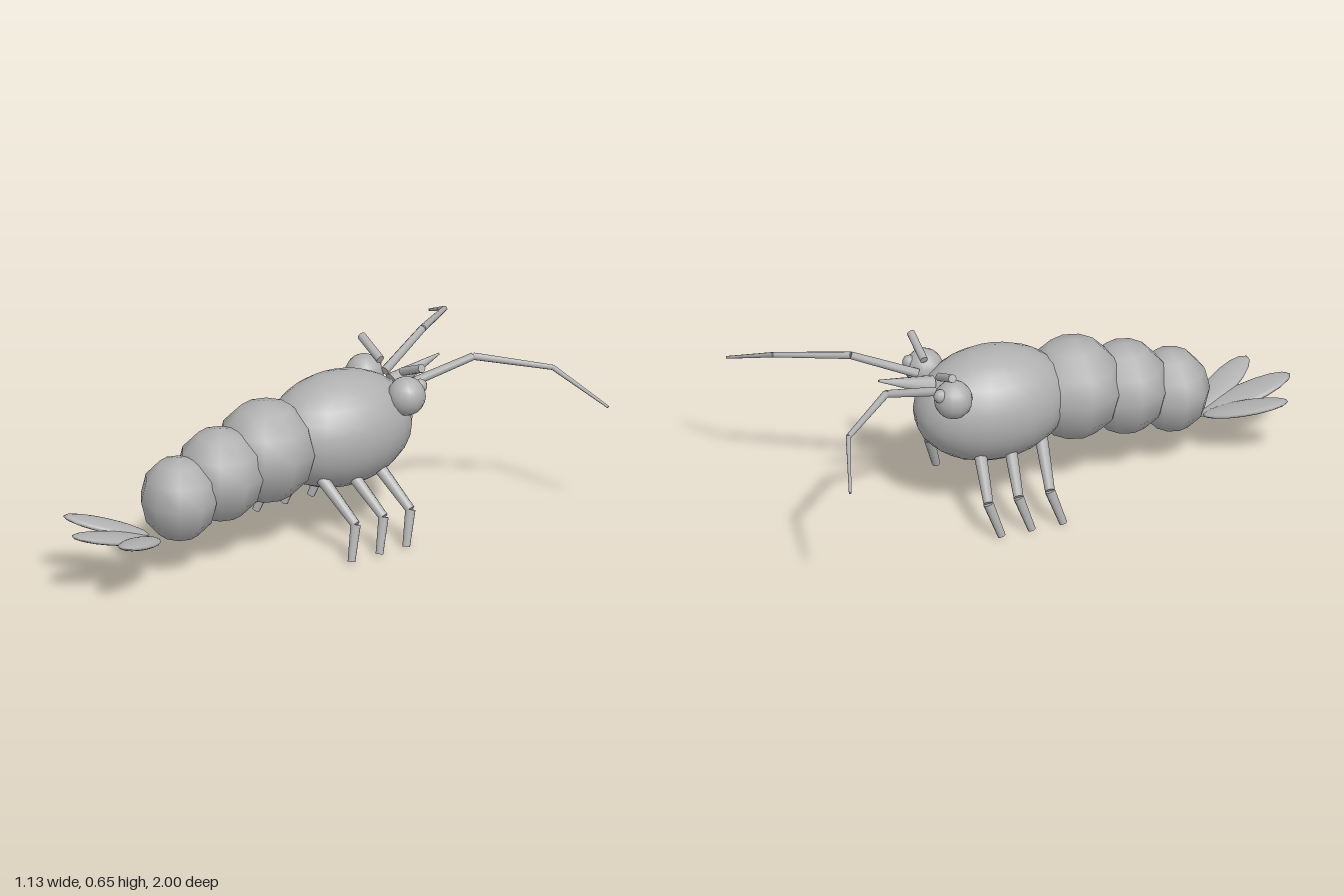
import * as THREE from 'three';

export function createModel() {
  const model = new THREE.Group();
  model.name = 'shrimp';
  const shell = new THREE.MeshStandardMaterial({ color: 0xb0b0b0 });
  shell.name = 'shellGrey';

  const add = (name, geometry, parent = model) => {
    const mesh = new THREE.Mesh(geometry, shell);
    mesh.name = name;
    parent.add(mesh);
    return mesh;
  };

  const ellipsoid = (name, centre, radii, around, rings, parent) => {
    const mesh = add(name, new THREE.SphereGeometry(1, around, rings), parent);
    mesh.position.set(...centre);
    mesh.scale.set(...radii);
    return mesh;
  };

  // Tapered rod from point a (radius ra) to point b (radius rb)
  const rod = (name, a, b, ra, rb, parent, sides = 8) => {
    const start = new THREE.Vector3(...a);
    const end = new THREE.Vector3(...b);
    const axis = end.clone().sub(start);
    const mesh = add(name, new THREE.CylinderGeometry(rb, ra, axis.length(), sides), parent);
    mesh.position.copy(start).add(end).multiplyScalar(0.5);
    mesh.quaternion.setFromUnitVectors(new THREE.Vector3(0, 1, 0), axis.normalize());
    return mesh;
  };

  // Head shell and beak
  ellipsoid('carapace', [0, 0.395, -0.19], [0.208, 0.215, 0.3], 20, 14);
  rod('rostrum', [0, 0.515, -0.43], [0, 0.578, -0.64], 0.037, 0.004, model, 10);

  // Abdomen: overlapping rings, shrinking towards the tail
  [
    [0.385, 0.135, 0.187, 0.195, 0.19],
    [0.342, 0.34, 0.168, 0.178, 0.165],
    [0.29, 0.525, 0.15, 0.16, 0.142],
  ].forEach(([y, z, rx, ry, rz], i) =>
    ellipsoid(`abdomenSegment${i + 1}`, [0, y, z], [rx, ry, rz], 10, 6));

  // Tail fan: a middle blade and two splayed ones
  for (const side of [-1, 0, 1]) {
    const centre = side ? [side * 0.105, 0.207, 0.775] : [0, 0.202, 0.815];
    const radii = side ? [0.058, 0.018, 0.163] : [0.07, 0.018, 0.19];
    const blade = ellipsoid('tailBlade', centre, radii, 16, 10);
    blade.rotation.order = 'YXZ';
    blade.rotation.set(-0.25, side * 0.57, 0);
  }

  // Paired parts
  for (const s of [1, -1]) {
    const half = new THREE.Group();
    half.name = s > 0 ? 'leftParts' : 'rightParts';
    model.add(half);

    // Eye, pupil and brow
    ellipsoid('eye', [s * 0.133, 0.515, -0.4], [0.071, 0.073, 0.071], 14, 10, half);
    ellipsoid('pupil', [s * 0.143, 0.545, -0.455], [0.026, 0.026, 0.026], 10, 8, half);
    rod('brow', [s * 0.07, 0.583, -0.428], [s * 0.19, 0.636, -0.428], 0.016, 0.016, half);

    // Antenna
    const feeler = [[0.075, 0.53, -0.45], [0.16, 0.613, -0.68], [0.34, 0.575, -0.908], [0.562, 0.472, -0.998]];
    const girth = [0.017, 0.014, 0.01, 0.005];
    for (let i = 0; i < 3; i++) {
      const [a, b] = [feeler[i], feeler[i + 1]].map(([x, y, z]) => [s * x, y, z]);
      rod('antennaJoint', a, b, girth[i], girth[i + 1], half);
    }

    // Walking legs
    for (const z of [-0.04, -0.165, -0.285]) {
      const knee = [s * 0.27, 0.132, z - 0.035];
      rod('upperLeg', [s * 0.11, 0.265, z], knee, 0.024, 0.018, half);
      rod('lowerLeg', knee, [s * 0.3, 0.005, z + 0.005], 0.02, 0.015, half);
    }
  }
  return model;
}
